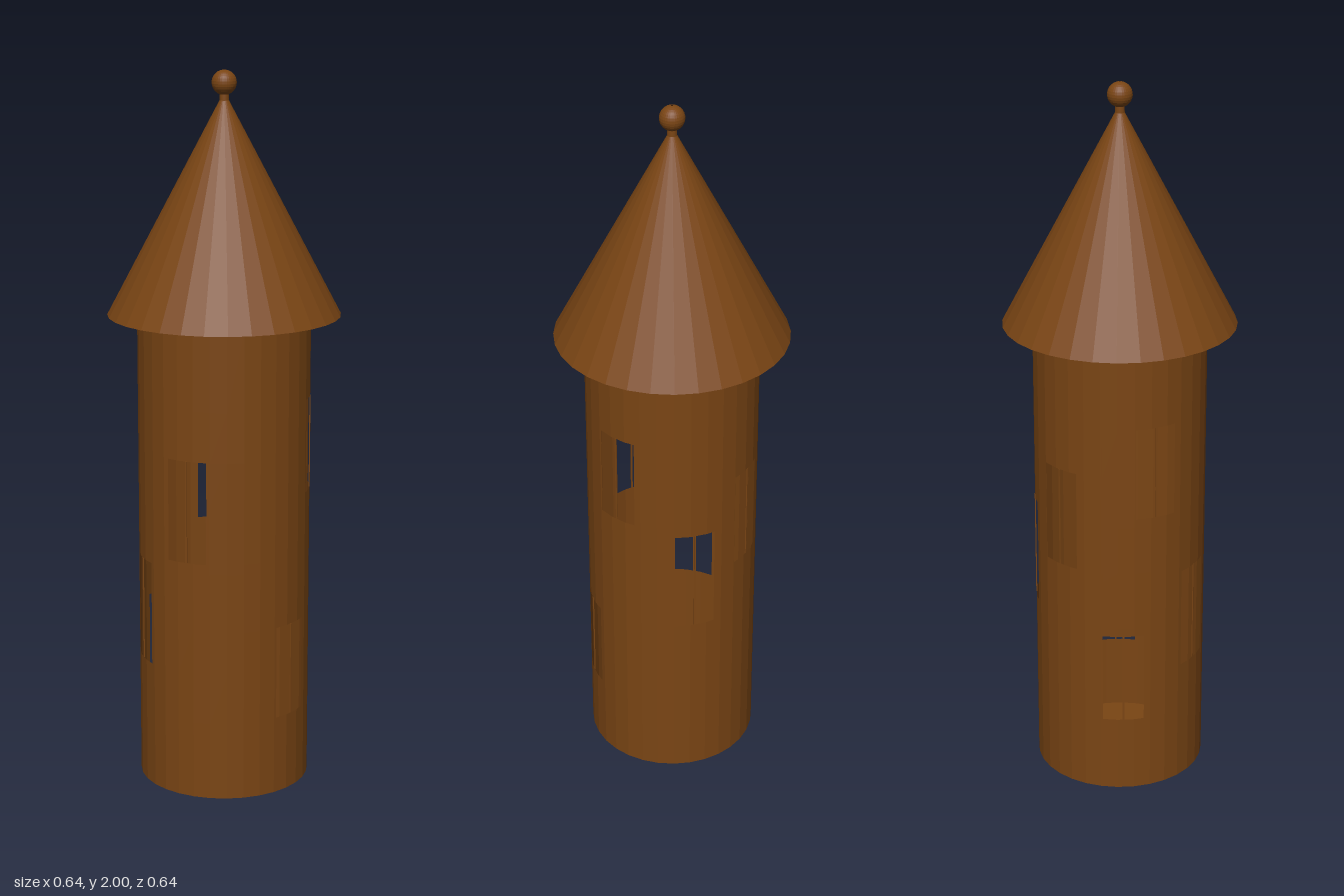
import * as THREE from 'three';

const SIDES = 32, R = 0.24, WALL_TOP = 1.335, HALF = 14;

// Window openings: [centre angle in degrees from +z towards +x, bottom, top]
const WINDOWS = [
  [27, 0.222, 0.487], [206.5, 0.222, 0.487],
  [60.5, 0.846, 1.11], [228.5, 0.846, 1.11],
  [115.5, 0.513, 0.82], [264, 0.36, 0.655],
  [160.5, 0.683, 0.97], [310, 0.683, 0.97],
];

const material = new THREE.MeshStandardMaterial({
  color: 0x7a4514, flatShading: true, side: THREE.DoubleSide,
});

// Point on the many-sided wall, kept on the flat of its facet
function wallPoint(deg, y) {
  const step = 360 / SIDES;
  const mid = (Math.floor(deg / step + 1e-6) + 0.5) * step;
  const rad = THREE.MathUtils.degToRad;
  const r = R * Math.cos(rad(step / 2)) / Math.cos(rad(deg - mid));
  return [r * Math.sin(rad(deg)), y, r * Math.cos(rad(deg))];
}

const sorted = (list) => [...new Set(list)].sort((a, b) => a - b);

// Thin wall: a grid split at facet and window edges, leaving out the openings
function wallGeometry() {
  const angles = sorted([
    ...Array.from({ length: SIDES + 1 }, (_, i) => (i * 360) / SIDES),
    ...WINDOWS.flatMap(([c]) => [c - HALF, c + HALF]),
  ]);
  const heights = sorted([0, WALL_TOP, ...WINDOWS.flatMap(([, b, t]) => [b, t])]);
  const positions = [];
  for (let i = 0; i < angles.length - 1; i++) {
    for (let j = 0; j < heights.length - 1; j++) {
      const [a0, a1, y0, y1] = [angles[i], angles[i + 1], heights[j], heights[j + 1]];
      const a = (a0 + a1) / 2, y = (y0 + y1) / 2;
      if (WINDOWS.some(([c, b, t]) => Math.abs(a - c) < HALF && y > b && y < t)) continue;
      const p = wallPoint(a0, y0), q = wallPoint(a1, y0);
      const r = wallPoint(a1, y1), s = wallPoint(a0, y1);
      positions.push(...p, ...q, ...r, ...p, ...r, ...s);
    }
  }
  const geometry = new THREE.BufferGeometry();
  geometry.setAttribute('position', new THREE.Float32BufferAttribute(positions, 3));
  geometry.computeVertexNormals();
  return geometry;
}

function lathe(points) {
  return new THREE.LatheGeometry(points.map(([x, y]) => new THREE.Vector2(x, y)), SIDES);
}

export function createModel() {
  const group = new THREE.Group();
  const add = (name, geometry) => {
    const mesh = new THREE.Mesh(geometry, material);
    mesh.name = name;
    group.add(mesh);
    return mesh;
  };

  add('towerWall', wallGeometry());

  // Closed foot of the tower
  add('towerBase', lathe([[0.003, 0], [R, 0]]));

  // Slender upright bar in the middle of each window
  for (const [c, bottom, top] of WINDOWS) {
    const bar = add('windowBar', new THREE.BoxGeometry(0.005, top - bottom, 0.003));
    bar.position.set(...wallPoint(c, (bottom + top) / 2));
    bar.rotation.y = THREE.MathUtils.degToRad(c);
  }

  // Conical roof with a flat eave
  add('roof', lathe([[R, WALL_TOP], [0.322, WALL_TOP], [0.013, 1.918]]));

  // Neck and ball finial, with a pinhole on the axis
  const ball = [];
  for (let i = 0; i <= 12; i++) {
    const t = 0.38 + ((Math.PI - 0.47) * i) / 12;
    ball.push([0.034 * Math.sin(t), 1.966 - 0.034 * Math.cos(t)]);
  }
  add('finial', lathe([[0.013, 1.918], ...ball]));

  return group;
}
